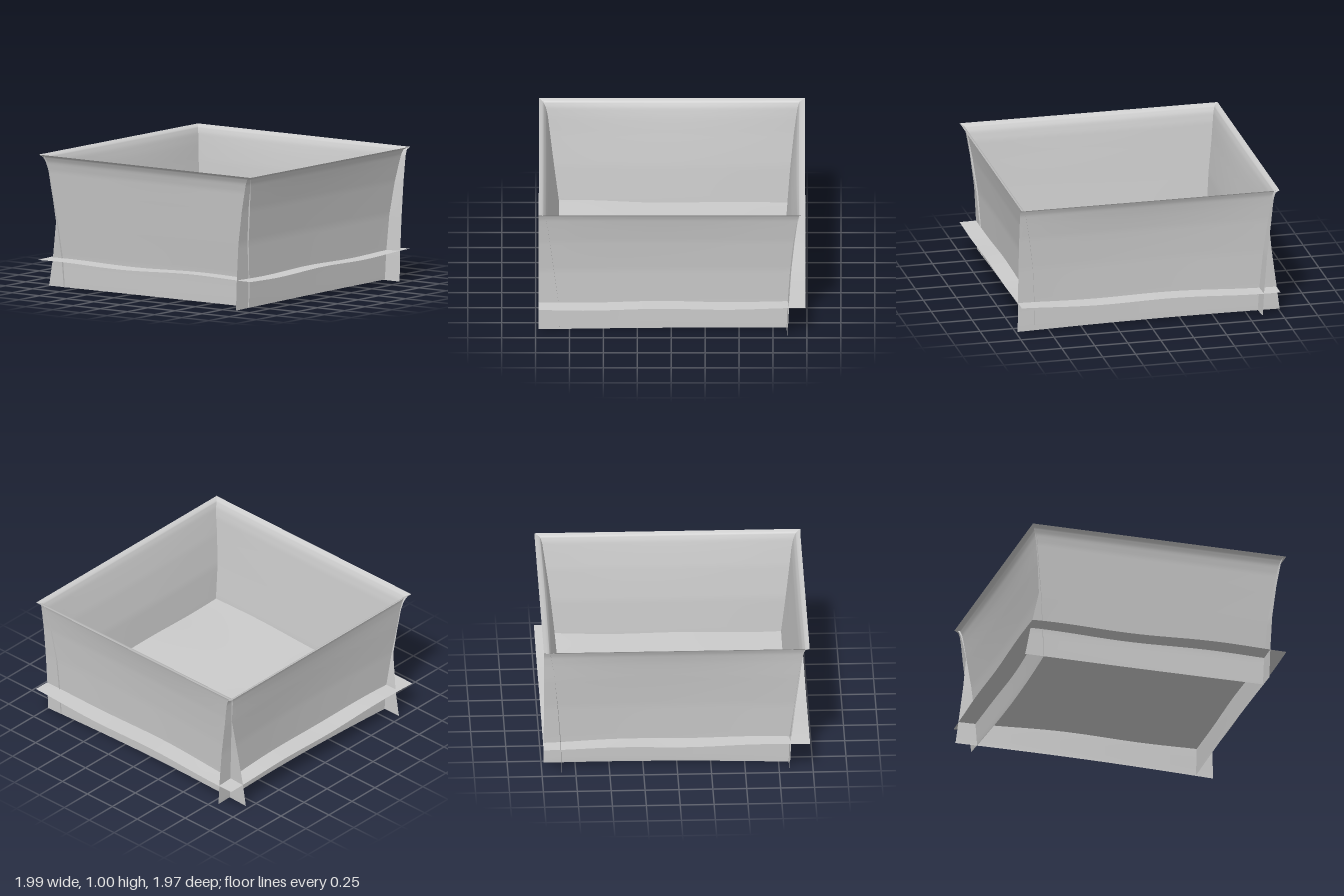
import * as THREE from 'three';

// Builds a smooth double-sided sheet from point(u, v), with u and v in 0..1
function sheet(name, nu, nv, point) {
  const geo = new THREE.PlaneGeometry(1, 1, nu, nv);
  const pos = geo.attributes.position;
  for (let i = 0; i < pos.count; i++) {
    const p = point(pos.getX(i) + 0.5, pos.getY(i) + 0.5);
    pos.setXYZ(i, p[0], p[1], p[2]);
  }
  geo.computeVertexNormals();
  const mat = new THREE.MeshStandardMaterial({ color: 0xcccccc, side: THREE.DoubleSide });
  const mesh = new THREE.Mesh(geo, mat);
  mesh.name = name;
  return mesh;
}

// Piecewise linear lookup of values at the shared wall heights
const heights = [0, 0.22, 0.5, 0.75, 0.88, 0.95, 0.99, 1.005];
function at(values, y) {
  let i = 0;
  while (i < heights.length - 2 && y > heights[i + 1]) i++;
  const t = (y - heights[i]) / (heights[i + 1] - heights[i]);
  return THREE.MathUtils.lerp(values[i], values[i + 1], t);
}

// Each wall as seen facing it: distance outwards, left and right edges per height,
// inward bow in the middle, and the bottom height at both ends
const walls = [
  { name: 'frontWall', turn: 0, bow: 0.005, bottom: [0.01, 0.015],
    out: [0.825, 0.83, 0.865, 0.895, 0.91, 0.925, 0.945, 0.975],
    left: [-0.98, -0.94, -0.885, -0.905, -0.92, -0.935, -0.95, -0.965],
    right: [0.865, 0.87, 0.89, 0.925, 0.94, 0.95, 0.965, 0.985] },
  { name: 'leftWall', turn: 1, bow: 0.01, bottom: [0.005, 0.02],
    out: [0.858, 0.865, 0.88, 0.912, 0.935, 0.948, 0.962, 0.99],
    left: Array(8).fill(-0.978),
    right: [0.86, 0.87, 0.885, 0.91, 0.925, 0.935, 0.95, 0.985] },
  { name: 'backWall', turn: 2, bow: 0.025, bottom: [0.015, 0.03],
    out: [0.855, 0.862, 0.88, 0.903, 0.92, 0.93, 0.945, 0.985],
    left: Array(8).fill(-0.99),
    right: [1, 0.97, 0.93, 0.9, 0.92, 0.935, 0.95, 0.965] },
  { name: 'rightWall', turn: 3, bow: 0.025, bottom: [0.035, 0.01],
    out: [0.835, 0.848, 0.87, 0.9, 0.913, 0.922, 0.935, 0.965],
    left: Array(8).fill(-0.983),
    right: [0.835, 0.845, 0.875, 0.905, 0.92, 0.932, 0.95, 0.975] },
];

function makeWall(w) {
  const mesh = sheet(w.name, 24, 40, (u, v) => {
    // rows gather towards the curled lip
    const h = 1.005 * (1 - Math.pow(1 - v, 1.6));
    const x = THREE.MathUtils.lerp(at(w.left, h), at(w.right, h), u);
    const bow = w.bow * Math.sin(Math.PI * u) * (1 - Math.pow(h / 1.005, 6));
    const foot = THREE.MathUtils.lerp(w.bottom[0], w.bottom[1], u);
    return [x, Math.max(h, foot + h * 0.02), at(w.out, h) - bow];
  });
  mesh.rotation.y = w.turn * Math.PI / 2;
  return mesh;
}

export function createModel() {
  const group = new THREE.Group();
  group.name = 'openBox';

  // Slightly wavy floor that pokes out past the walls
  group.add(sheet('floor', 24, 24, (u, v) => {
    const x = THREE.MathUtils.lerp(-0.97, 0.99, u);
    const z = THREE.MathUtils.lerp(0.978, -0.988, v);
    const y = 0.225 + 0.008 * Math.sin(5 * x - 0.6) * z + 0.006 * Math.sin(6 * z + 1) * x + 0.008 * x;
    return [x, y, z];
  }));

  // Four walls in a pinwheel, each running past its neighbour and curling out at the rim
  for (const w of walls) group.add(makeWall(w));
  return group;
}
